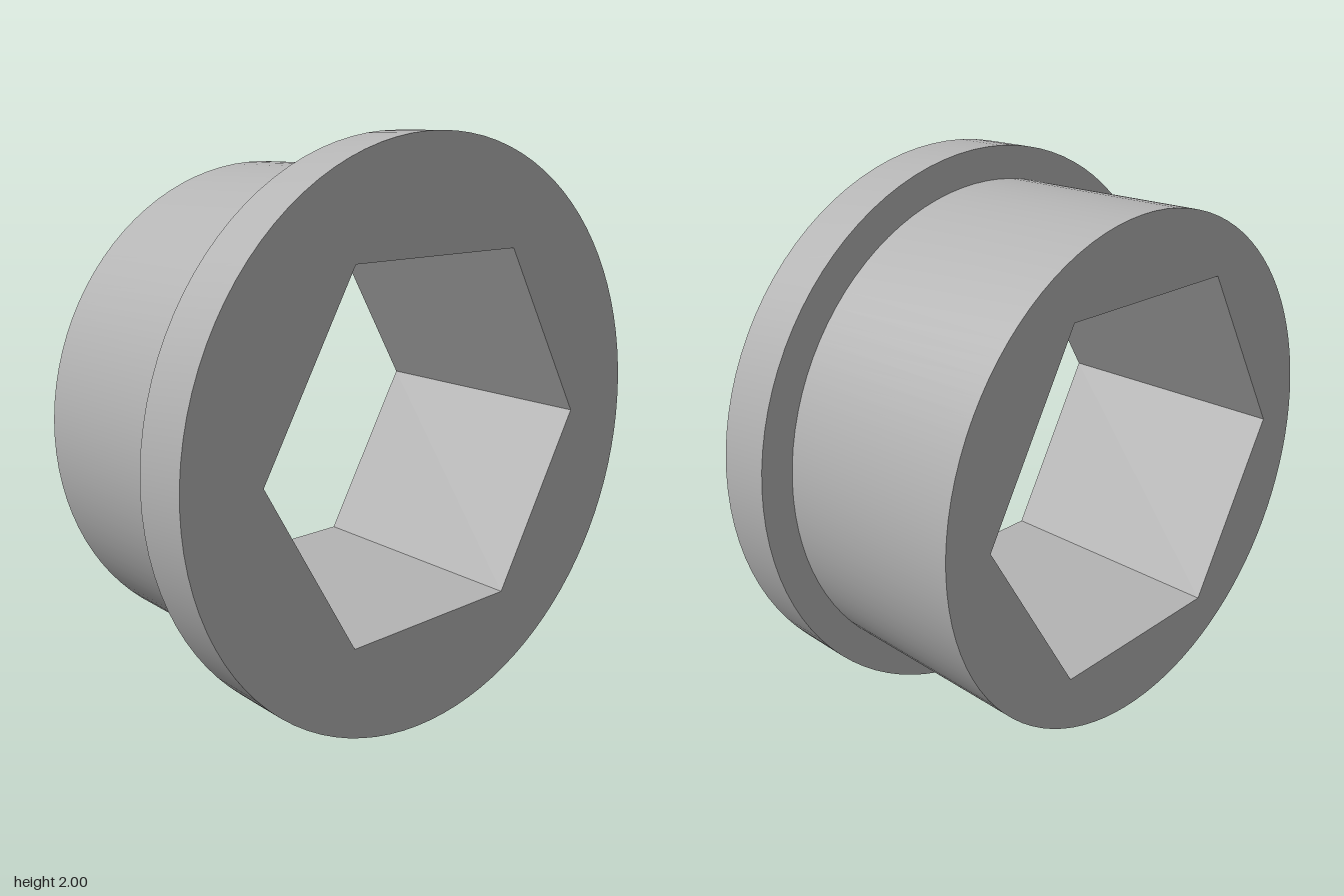
import * as THREE from 'three';
import { toCreasedNormals } from 'three/addons/utils/BufferGeometryUtils.js';

const BODY_R = 0.887, FLANGE_R = 1, HEX_R = 0.712;
const BACK = -0.46, STEP = 0.26, FRONT = 0.46;
const SEGMENTS = 96;

export function createModel() {
  const model = new THREE.Group();
  model.name = 'hexBushing';
  const grey = new THREE.MeshStandardMaterial({ color: 0xb4b4b4 });
  grey.name = 'grey';

  const add = (name, geometry) => {
    const mesh = new THREE.Mesh(geometry, grey);
    mesh.name = name;
    mesh.position.y = 1;
    model.add(mesh);
    return mesh;
  };

  // Outer wall of the sleeve, the step and the flange rim
  const profile = [[BODY_R, BACK], [BODY_R, STEP], [FLANGE_R, STEP], [FLANGE_R, FRONT]]
    .map(([r, z]) => new THREE.Vector2(r, z));
  const wall = new THREE.LatheGeometry(profile, SEGMENTS).rotateX(Math.PI / 2);
  add('sleeveAndFlange', toCreasedNormals(wall, 0.6));

  // Flat ring with a hexagonal opening
  const endFace = (radius) => {
    const shape = new THREE.Shape().absarc(0, 0, radius, 0, Math.PI * 2, false);
    const corners = Array.from({ length: 6 }, (_, i) => {
      const a = -i * Math.PI / 3;
      return new THREE.Vector2(Math.cos(a) * HEX_R, Math.sin(a) * HEX_R);
    });
    shape.holes.push(new THREE.Path(corners).closePath());
    return new THREE.ShapeGeometry(shape, SEGMENTS / 2);
  };
  add('frontFace', endFace(FLANGE_R)).position.z = FRONT;
  add('backFace', endFace(BODY_R).rotateY(Math.PI)).position.z = BACK;

  // Hexagonal bore, mirrored so that its faces look inward
  const bore = new THREE.CylinderGeometry(HEX_R, HEX_R, FRONT - BACK, 6, 1, true, Math.PI / 2)
    .rotateX(Math.PI / 2).scale(-1, 1, 1).toNonIndexed();
  bore.computeVertexNormals();
  add('hexBore', bore);

  return model;
}
